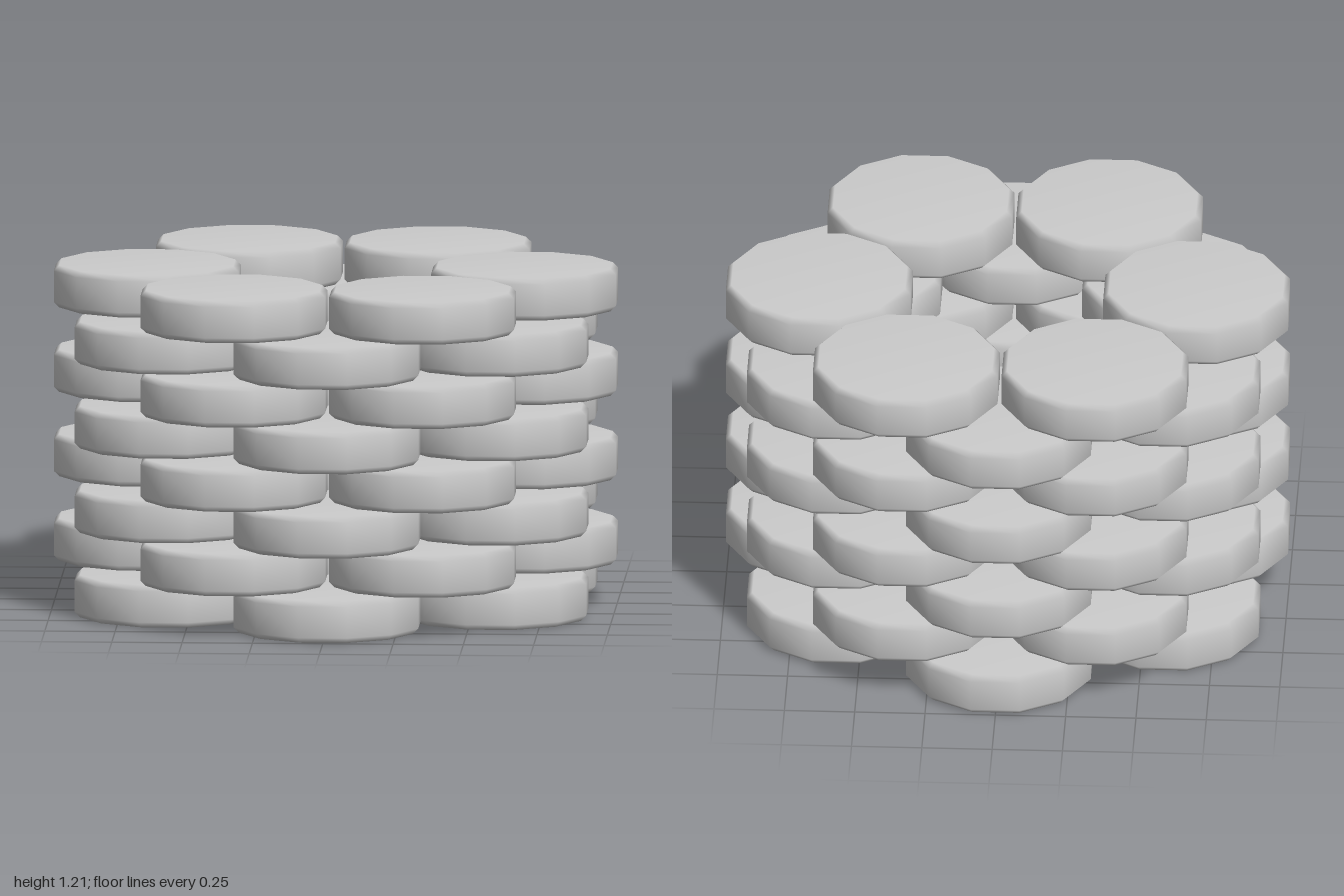
import * as THREE from 'three';

const LAYERS = 8, PER_LAYER = 6;
const HEIGHT = 0.1516;      // thickness of one stone
const RING = 0.671;         // distance of stone centres from the axis
const RADIUS = 0.34;        // corner radius of the twelve-sided stone
const BEVEL = 0.02;

// Twelve-sided disc with bevelled rims and smooth normals
function stoneGeometry() {
  const profile = [
    [0, 0], [RADIUS - BEVEL, 0], [RADIUS, BEVEL],
    [RADIUS, HEIGHT - BEVEL], [RADIUS - BEVEL, HEIGHT], [0, HEIGHT],
  ].map(([x, y]) => new THREE.Vector2(x, y));
  // Turned half a step so that flat sides face outwards
  return new THREE.LatheGeometry(profile, 12).rotateY(Math.PI / 12);
}

export function createModel() {
  const model = new THREE.Group();
  model.name = 'stoneRing';
  const material = new THREE.MeshStandardMaterial({ color: 0xcccccc });
  const geometry = stoneGeometry();

  // Rings of stones, each turned half a stone like brickwork
  for (let layer = 0; layer < LAYERS; layer++) {
    const ring = new THREE.Group();
    ring.name = `stoneLayer${layer + 1}`;
    ring.position.y = layer * HEIGHT;
    const offset = layer % 2 === 0 ? Math.PI / PER_LAYER : 0;
    for (let i = 0; i < PER_LAYER; i++) {
      const angle = offset + (i * 2 * Math.PI) / PER_LAYER;
      const stone = new THREE.Mesh(geometry, material);
      stone.name = 'stone';
      stone.position.set(RING * Math.cos(angle), 0, RING * Math.sin(angle));
      stone.rotation.y = -angle;
      ring.add(stone);
    }
    model.add(ring);
  }
  return model;
}
